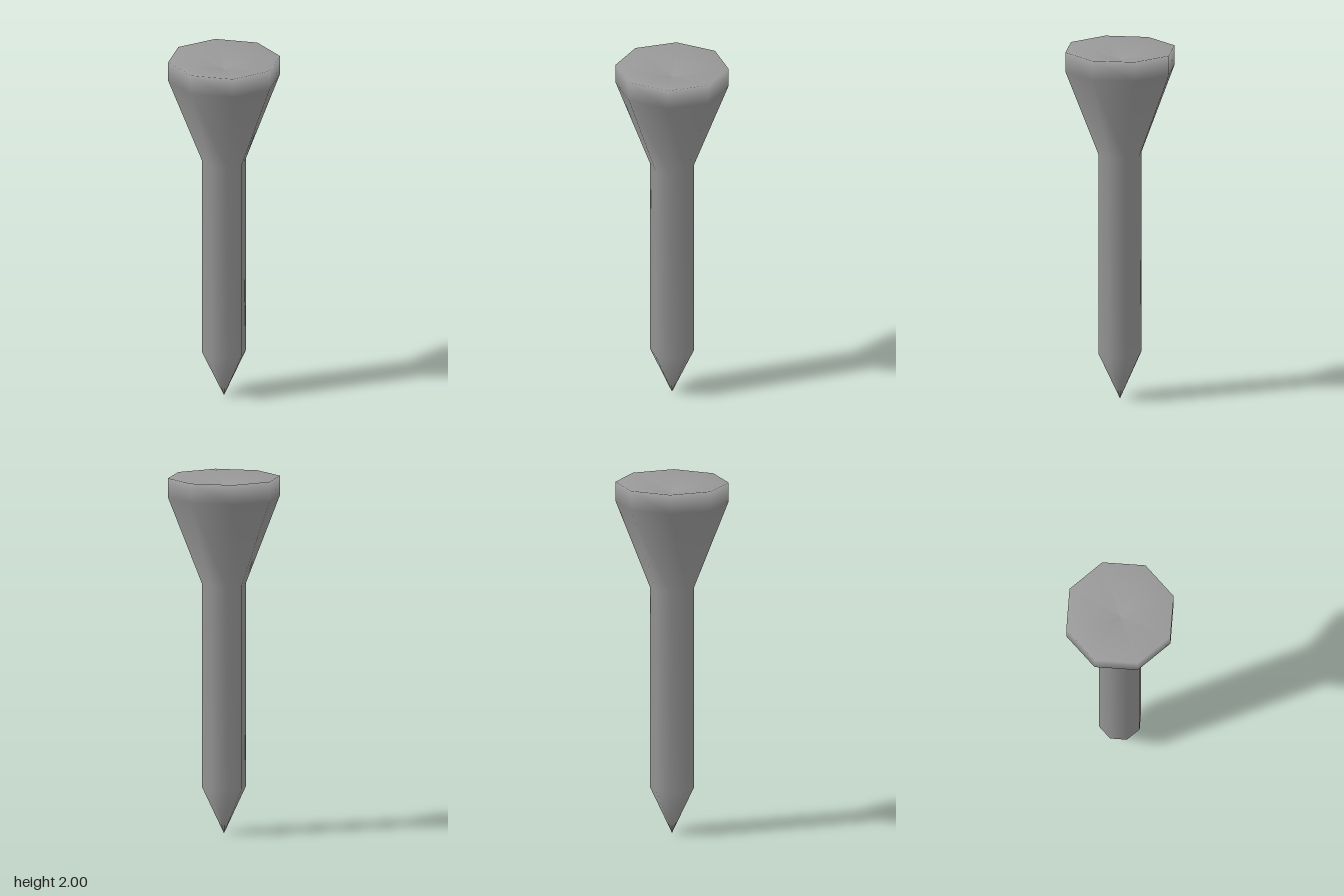
import * as THREE from 'three';

const SIDES = 8;
// Radii are measured to the flat sides, so widen them to the corners.
const TO_CORNER = 1 / Math.cos(Math.PI / SIDES);

export function createModel() {
  const group = new THREE.Group();
  group.name = 'peg';

  const grey = new THREE.MeshStandardMaterial({ color: 0x999999 });
  grey.name = 'grey';

  // Eight-sided smooth turning, with flats facing the axes.
  const turned = (name, profile) => {
    const points = profile.map(([r, y]) => new THREE.Vector2(r * TO_CORNER, y));
    const geometry = new THREE.LatheGeometry(points, SIDES, Math.PI / SIDES);
    const mesh = new THREE.Mesh(geometry, grey);
    mesh.name = name;
    group.add(mesh);
  };

  // Pointed tip, straight shaft, flared head, upright rim and shallow cup.
  turned('pegBody', [
    [0, 0],
    [0.113, 0.26],
    [0.113, 1.4],
    [0.29, 1.89],
    [0.29, 2],
    [0, 1.94],
  ]);

  return group;
}
